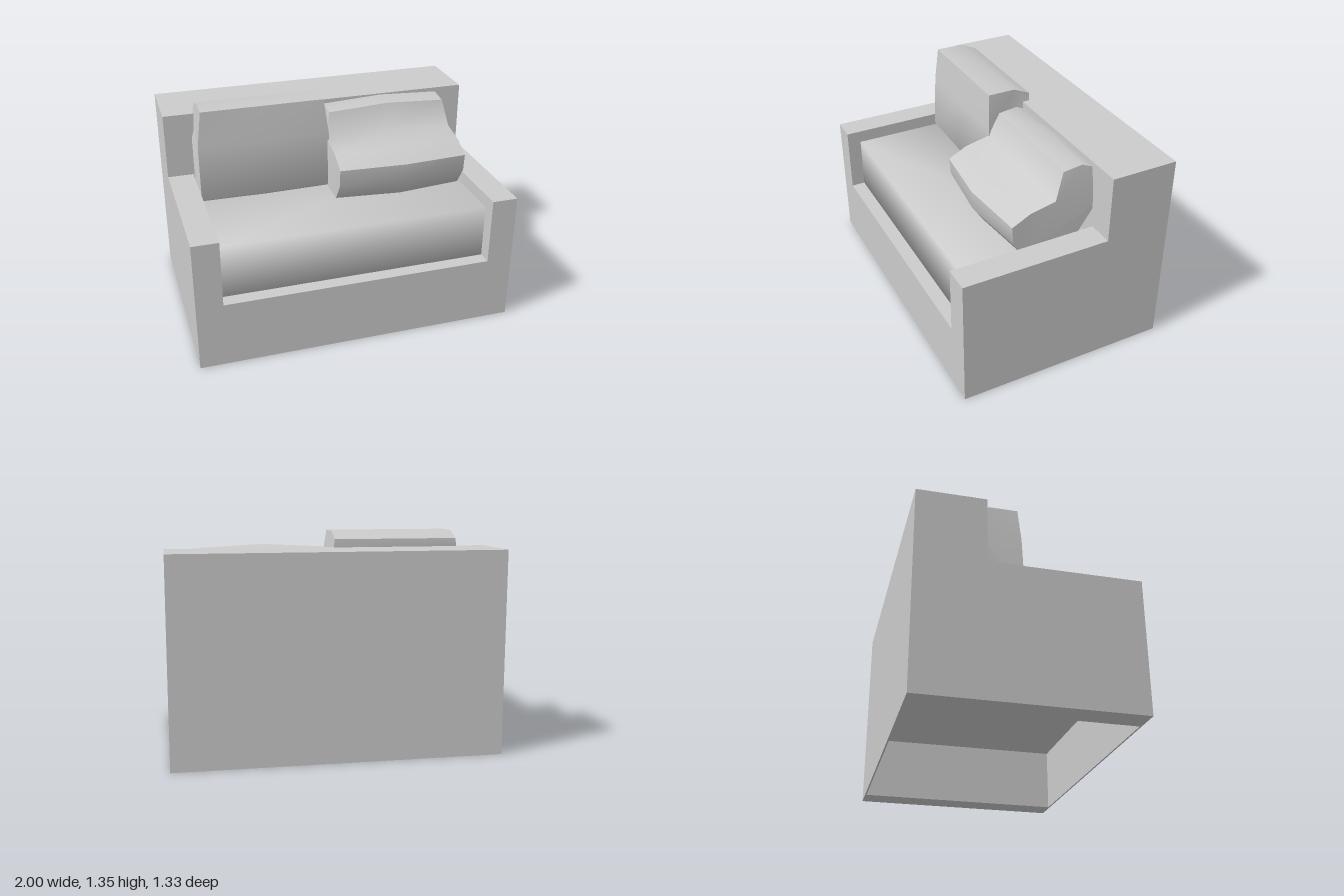
import * as THREE from 'three';
import { mergeVertices, toCreasedNormals } from 'three/addons/utils/BufferGeometryUtils.js';

const material = new THREE.MeshStandardMaterial({ color: 0xcccccc, side: THREE.DoubleSide });

function add(group, name, geometry, x = 0, y = 0, z = 0) {
  const mesh = new THREE.Mesh(geometry, material);
  mesh.name = name;
  mesh.position.set(x, y, z);
  group.add(mesh);
  return mesh;
}

// Box given by its limits on each axis
function addBox(group, name, [x0, x1], [y0, y1], [z0, z1]) {
  const geometry = new THREE.BoxGeometry(x1 - x0, y1 - y0, z1 - z0);
  return add(group, name, geometry, (x0 + x1) / 2, (y0 + y1) / 2, (z0 + z1) / 2);
}

// Pillow lofted across x through end, middle and end sections.
// Each profile point is [z, y, end inset, extra z in the middle, extra y in the middle].
function pillowGeometry(profile, halfWidth) {
  const n = profile.length;
  const positions = [];
  const index = [];
  for (const side of [-1, 0, 1]) {
    for (const [z, y, inset, dz, dy] of profile) {
      const mid = side === 0 ? 1 : 0;
      positions.push(side * (halfWidth - inset), y + dy * mid, z + dz * mid);
    }
  }
  for (let s = 0; s < 2; s++) {
    for (let i = 0; i < n; i++) {
      const a = s * n + i, b = s * n + (i + 1) % n;
      index.push(a, a + n, b + n, a, b + n, b);
    }
  }
  const outline = profile.map(([z, y]) => new THREE.Vector2(z, y));
  for (const [a, b, c] of THREE.ShapeUtils.triangulateShape(outline, [])) {
    index.push(a, b, c, 2 * n + a, 2 * n + c, 2 * n + b);
  }
  const geometry = new THREE.BufferGeometry();
  geometry.setAttribute('position', new THREE.Float32BufferAttribute(positions, 3));
  geometry.setIndex(index);
  return toCreasedNormals(geometry, 1.0);
}

export function createModel() {
  const sofa = new THREE.Group();
  sofa.name = 'sofa';
  const inner = 0.838, depth = 0.667, deck = 0.417, backFront = -0.25;

  // Side panels: low arm in front, tall behind
  const side = new THREE.Shape([
    [-depth, 0], [depth, 0], [depth, 0.835], [-backFront, 0.835], [-backFront, 1.25], [-depth, 1.25],
  ].reverse().map(([z, y]) => new THREE.Vector2(z < 0 ? -z : -z, y)));
  // Shape x runs along z once the panel is turned to face sideways
  const sideShape = new THREE.Shape([
    [-depth, 0], [depth, 0], [depth, 1.25], [-backFront, 1.25], [-backFront, 0.835], [-depth, 0.835],
  ].map(([u, y]) => new THREE.Vector2(u, y)));
  const panel = new THREE.ExtrudeGeometry(side.curves.length ? sideShape : side, { depth: 1 - inner, bevelEnabled: false });
  panel.rotateY(Math.PI / 2);
  add(sofa, 'leftArm', panel, inner);
  add(sofa, 'rightArm', panel, -1);

  // Hollow base: thin front and rear walls under a deck
  const across = [-inner, inner];
  addBox(sofa, 'frontPanel', across, [0, deck], [depth - 0.01, depth]);
  addBox(sofa, 'rearPanel', across, [0, deck], [-depth, -depth + 0.01]);
  addBox(sofa, 'seatDeck', across, [deck - 0.01, deck], [-depth, depth]);
  addBox(sofa, 'backrest', across, [deck, 1.25], [-depth, backFront]);

  // Seat cushion: a block with softly shaded corners
  const seat = new THREE.BoxGeometry(2 * inner - 0.004, 0.338, 0.83);
  seat.deleteAttribute('normal');
  seat.deleteAttribute('uv');
  const softSeat = mergeVertices(seat);
  softSeat.computeVertexNormals();
  add(sofa, 'seatCushion', softSeat, 0, deck + 0.169, 0.165);

  // Upright pillow
  add(sofa, 'uprightPillow', pillowGeometry([
    [-0.01, 0.755, 0, 0.01, 0], [0.015, 0.775, 0, 0.01, 0], [0, 1.12, 0, 0.01, 0],
    [-0.015, 1.345, 0.03, 0, 0], [-0.19, 1.345, 0.03, 0, 0], [-0.295, 1.3, 0.03, 0, 0],
    [-0.295, 1.22, 0.02, 0, 0], [-0.26, 1.1, 0, 0, 0], [-0.26, 0.755, 0, 0, 0],
  ], 0.415), -0.415);

  // Slouched pillow leaning over the seat
  add(sofa, 'slouchedPillow', pillowGeometry([
    [0.19, 0.755, 0, 0.045, 0], [0.265, 0.87, 0, 0.05, 0], [0.275, 0.98, 0, 0.045, 0.01],
    [0.16, 1.04, 0, 0.04, 0.02], [0, 1.075, 0, 0.02, 0.025], [-0.06, 1.235, 0.03, 0.01, 0.025],
    [-0.18, 1.25, 0.03, 0, 0.02], [-0.28, 1.205, 0.03, 0, 0.015], [-0.28, 1.02, 0, 0, 0],
    [-0.25, 0.95, 0, 0, 0], [-0.12, 0.755, 0, 0, 0],
  ], 0.415), 0.405);

  return sofa;
}
